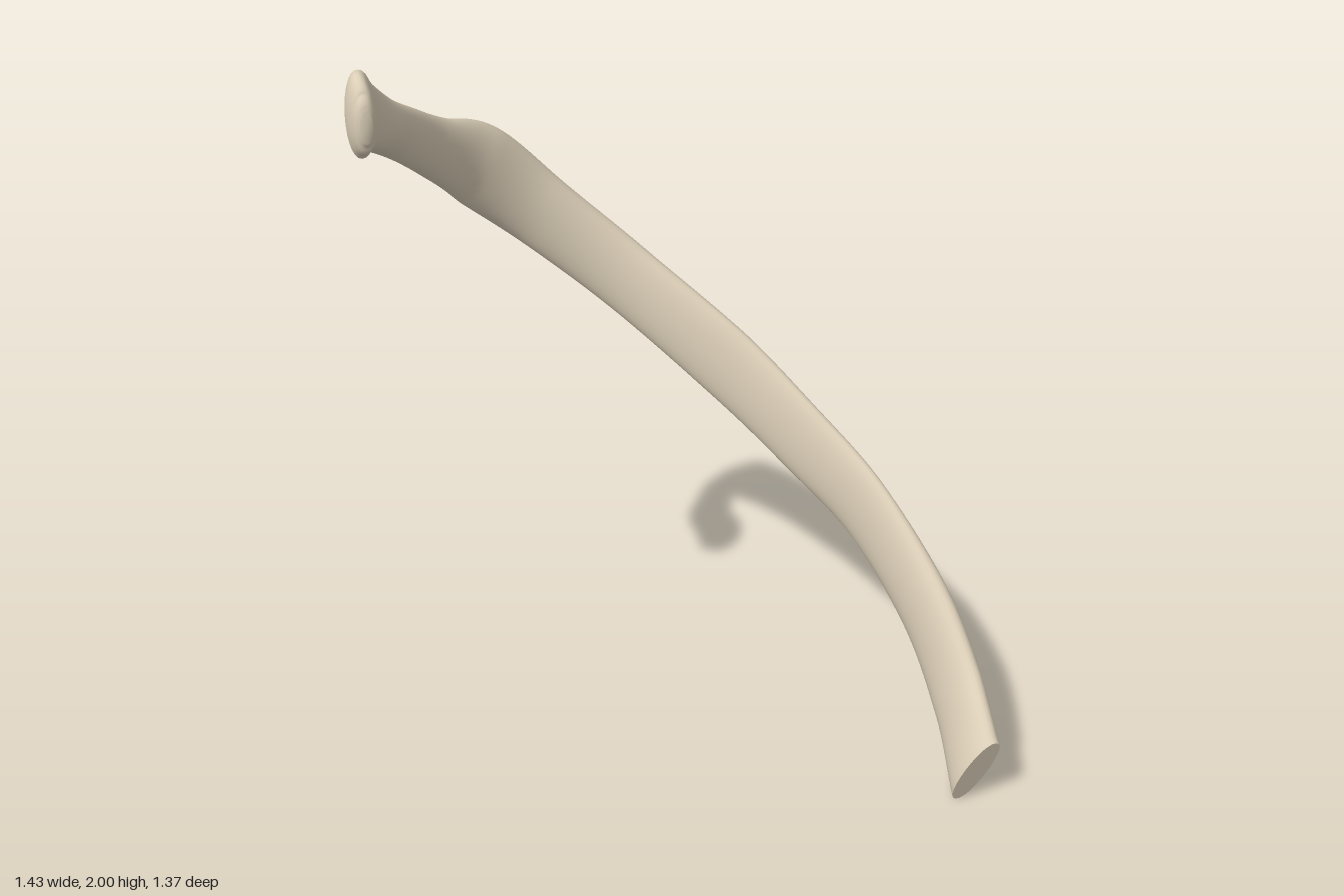
import * as THREE from 'three';

// Stations from head to open end: x, y, z, half width, half thickness, twist,
// square (1 = section square to the path, 0 = section kept upright)
const stations = [
  [-0.696, 1.885, -0.135, 0.042, 0.016, 0, 0.4],
  [-0.693, 1.888, -0.152, 0.077, 0.028, 0, 0.4],
  [-0.682, 1.893, -0.205, 0.107, 0.036, 0, 0.5],
  [-0.638, 1.855, -0.285, 0.084, 0.039, 0, 0.8],
  [-0.558, 1.785, -0.382, 0.070, 0.057, 0, 1],
  [-0.460, 1.715, -0.463, 0.071, 0.047, 0, 1],
  [-0.330, 1.620, -0.557, 0.082, 0.045, 0, 1],
  [-0.180, 1.522, -0.628, 0.110, 0.049, 0, 1],
  [0.000, 1.355, -0.630, 0.100, 0.048, -0.03, 1],
  [0.200, 1.160, -0.530, 0.098, 0.040, -0.04, 1],
  [0.400, 0.938, -0.318, 0.106, 0.034, -0.04, 1],
  [0.528, 0.758, -0.115, 0.104, 0.033, -0.03, 1],
  [0.617, 0.605, 0.080, 0.104, 0.033, 0, 1],
  [0.662, 0.414, 0.300, 0.105, 0.043, -0.06, 1],
  [0.655, 0.241, 0.480, 0.105, 0.042, -0.25, 0.9],
  [0.606, 0.096, 0.650, 0.108, 0.040, -0.45, 0.45],
];
const SEGMENTS = 150;
const SIDES = 28;

function curve(pick) {
  const points = stations.map(s => new THREE.Vector3(...pick(s)));
  return new THREE.CatmullRomCurve3(points, false, 'catmullrom');
}

function boneGeometry() {
  const path = curve(s => s.slice(0, 3));
  const size = curve(s => [s[3], s[4], 0]);
  const turn = curve(s => [s[5], s[6], 0]);
  const up = new THREE.Vector3(0, 1, 0);
  const positions = [];
  const index = [];

  // Flattened oval rings, broad side upright and turned by the twist
  for (let i = 0; i <= SEGMENTS; i++) {
    const u = i / SEGMENTS;
    const c = path.getPoint(u);
    const t = path.getTangent(u);
    const { x: width, y: thick } = size.getPoint(u);
    const { x: twist, y: square } = turn.getPoint(u);
    const w = up.clone().addScaledVector(t, -t.y * square).normalize().applyAxisAngle(t, twist);
    const n = new THREE.Vector3().crossVectors(t, w).normalize();
    // shallow hollow on the outer face of the neck
    const hollow = 0.35 * Math.exp(-(((u - 0.19) / 0.03) ** 2));
    for (let j = 0; j < SIDES; j++) {
      const a = j / SIDES * Math.PI * 2;
      const ca = Math.cos(a), sa = Math.sin(a);
      const dent = sa < 0 ? 1 - hollow * sa * sa : 1;
      const across = Math.sign(sa) * Math.abs(sa) ** 0.9 * thick * dent;
      const p = c.clone().addScaledVector(w, ca * width).addScaledVector(n, across);
      positions.push(p.x, p.y, p.z);
    }
  }
  for (let i = 0; i < SEGMENTS; i++) {
    for (let j = 0; j < SIDES; j++) {
      const k = (j + 1) % SIDES;
      const a = i * SIDES + j, b = i * SIDES + k;
      index.push(a, b, a + SIDES, b, b + SIDES, a + SIDES);
    }
  }

  // Rounded tip of the head
  const tip = positions.length / 3;
  const p0 = path.getPoint(0).addScaledVector(path.getTangent(0), -0.006);
  positions.push(p0.x, p0.y, p0.z);
  for (let j = 0; j < SIDES; j++) index.push(tip, (j + 1) % SIDES, j);

  // Flat cut at the open end, with its own vertices for a crisp edge
  const rim = positions.length / 3;
  const last = SEGMENTS * SIDES * 3;
  positions.push(...positions.slice(last, last + SIDES * 3));
  const p1 = path.getPoint(1);
  positions.push(p1.x, p1.y, p1.z);
  for (let j = 0; j < SIDES; j++) index.push(rim + SIDES, rim + j, rim + (j + 1) % SIDES);

  const geometry = new THREE.BufferGeometry();
  geometry.setAttribute('position', new THREE.Float32BufferAttribute(positions, 3));
  geometry.setIndex(index);
  geometry.computeVertexNormals();
  return geometry;
}

export function createModel() {
  const group = new THREE.Group();
  group.name = 'rib';
  const bone = new THREE.Mesh(boneGeometry(), new THREE.MeshStandardMaterial({ color: 0xdccfb8 }));
  bone.name = 'ribBone';
  group.add(bone);
  return group;
}
